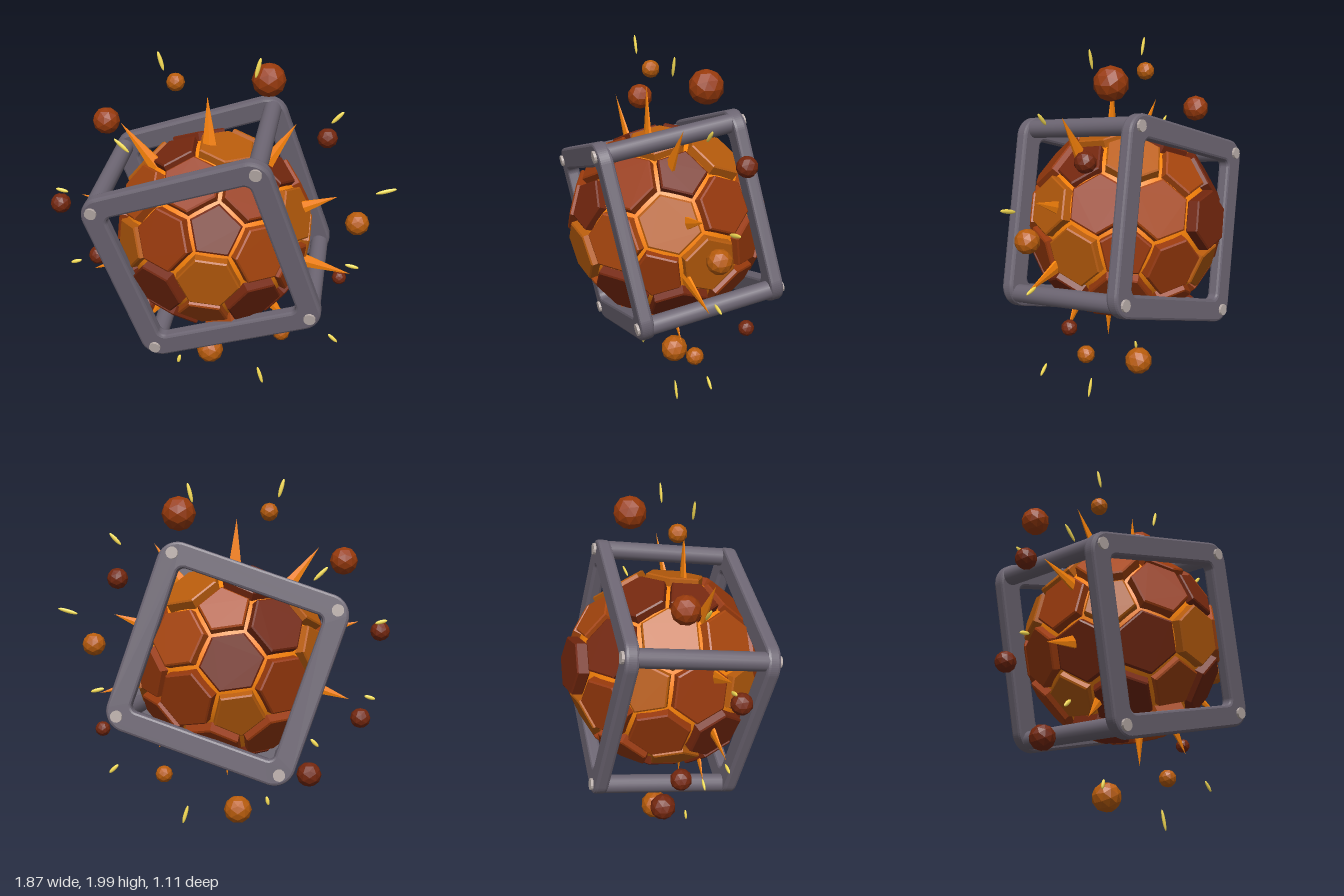
import * as THREE from 'three';

const CENTER = new THREE.Vector3(-0.045, 1, 0);
const mat = (color, flat = true) =>
  new THREE.MeshStandardMaterial({ color, flatShading: flat });

function part(name, geometry, material, parent) {
  const mesh = new THREE.Mesh(geometry, material);
  mesh.name = name;
  parent.add(mesh);
  return mesh;
}

// Turns a group so its local y and z axes follow the given directions
function orient(group, y, z) {
  const Z = new THREE.Vector3(...z).normalize();
  const X = new THREE.Vector3(...y).cross(Z).normalize();
  const Y = Z.clone().cross(X);
  group.quaternion.setFromRotationMatrix(new THREE.Matrix4().makeBasis(X, Y, Z));
}

function roundedSquare(target, half, r) {
  const k = half - r;
  target.absarc(k, k, r, 0, Math.PI / 2);
  target.absarc(-k, k, r, Math.PI / 2, Math.PI);
  target.absarc(-k, -k, r, Math.PI, Math.PI * 1.5);
  target.absarc(k, -k, r, Math.PI * 1.5, Math.PI * 2);
  target.closePath();
  return target;
}

// Cage: two rounded square rings joined by four bars, with corner bolts
function makeCage() {
  const cage = new THREE.Group();
  cage.name = 'cage';
  const steel = mat(0x6c6572, false), boltMat = mat(0xb8aca8);
  const shape = roundedSquare(new THREE.Shape(), 0.508, 0.1);
  shape.holes.push(roundedSquare(new THREE.Path(), 0.412, 0.05));
  const ring = new THREE.ExtrudeGeometry(shape, {
    depth: 0.04, bevelThickness: 0.016, bevelSize: 0.014, bevelSegments: 2, curveSegments: 8,
  }).translate(0, 0, -0.02);
  const bar = new THREE.CylinderGeometry(0.05, 0.05, 0.72, 16).rotateX(Math.PI / 2);
  const bolt = new THREE.CylinderGeometry(0.032, 0.032, 0.03, 12).rotateX(Math.PI / 2);
  for (const s of [-1, 1]) {
    part('cageRing', ring, steel, cage).position.z = s * 0.365;
    for (const x of [-0.452, 0.452]) {
      part('cageBar', bar, steel, cage).position.set(x, s * 0.452, 0);
      for (const y of [-0.452, 0.452])
        part('bolt', bolt, boltMat, cage).position.set(x, y, s * 0.4);
    }
  }
  orient(cage, [-0.325, 0.94, 0.11], [-0.07, -0.14, 0.99]);
  cage.position.set(-0.05, 1, 0);
  return cage;
}

// Cracked ball: glowing core under 12 pentagon and 30 hexagon plates
function makeBall() {
  const ball = new THREE.Group();
  ball.name = 'plateBall';
  part('core', new THREE.SphereGeometry(0.5, 40, 28), mat(0xff860a, false), ball);

  // Each vertex of a subdivided icosahedron owns the centres of its faces
  const pos = new THREE.IcosahedronGeometry(1, 1).attributes.position;
  const cells = new Map();
  for (let i = 0; i < pos.count; i += 3) {
    const tri = [0, 1, 2].map((j) => new THREE.Vector3().fromBufferAttribute(pos, i + j));
    const mid = tri[0].clone().add(tri[1]).add(tri[2]).normalize();
    for (const v of tri) {
      const key = v.toArray().map((c) => Math.round(c * 1000)).join();
      if (!cells.has(key)) cells.set(key, { normal: v, corners: [] });
      cells.get(key).corners.push(mid);
    }
  }

  let seed = 7;
  const random = () => (seed = (seed * 16807) % 2147483647) / 2147483647;
  const mats = [0xa8460e, 0x98390c, 0x74270e, 0xb85c0c].map((c) => mat(c));
  const front = new THREE.Vector3(0, 0, 1);
  for (const { normal, corners } of cells.values()) {
    const q = new THREE.Quaternion().setFromUnitVectors(front, normal);
    const inv = q.clone().invert();
    const outline = corners
      .map((c) => c.clone().applyQuaternion(inv))
      .sort((a, b) => Math.atan2(a.y, a.x) - Math.atan2(b.y, b.x))
      .map((c) => new THREE.Vector2(c.x, c.y).multiplyScalar(0.54 * 0.87));
    const geo = new THREE.ExtrudeGeometry(new THREE.Shape(outline), {
      depth: 0.055, bevelThickness: 0.007, bevelSize: 0.008, bevelOffset: -0.008, bevelSegments: 1,
    });
    const plate = part('plate', geo, mats[Math.floor(random() * 4)], ball);
    plate.quaternion.copy(q);
    const lift = normal.z < -0.99 ? 0.032 : random() * 0.014;
    plate.position.copy(normal).multiplyScalar(0.456 + lift);
  }
  orient(ball, [0.14, 0.98, 0.17], [0.02, -0.17, 0.98]);
  ball.position.copy(CENTER);
  return ball;
}

// Places a mesh whose length runs along y on a ray from the centre
function placeRadial(mesh, degrees, radius, z) {
  const a = THREE.MathUtils.degToRad(degrees);
  mesh.position.set(CENTER.x + Math.cos(a) * radius, CENTER.y + Math.sin(a) * radius, z);
  mesh.rotation.z = a - Math.PI / 2;
}

export function createModel() {
  const model = new THREE.Group();
  model.name = 'cagedBall';
  model.add(makeCage(), makeBall());

  // Flat flame spikes bursting outward, listed by tip distance
  const spikeMat = mat(0xff860a);
  [0.71, 0.78, 0.78, 0.79, 0.75, 0.72, 0.66, 0.71, 0.69, 0.79].forEach((tip, i) => {
    const length = tip - 0.4;
    const geo = new THREE.ConeGeometry(0.06, length, 6).scale(1, 1, 0.35);
    placeRadial(part('spike', geo, spikeMat, model), 20 + i * 36, 0.4 + length / 2, 0.1);
  });

  // Thin sparks: distance, length
  const sparkMat = mat(0xffe458, false);
  [
    [0.985, 0.105], [0.95, 0.11], [0.93, 0.09], [0.96, 0.115], [0.79, 0.08], [0.95, 0.075],
    [0.975, 0.115], [0.875, 0.055], [0.69, 0.065], [0.82, 0.065], [0.865, 0.07], [0.69, 0.11],
  ].forEach(([dist, length], i) => {
    const geo = new THREE.SphereGeometry(0.5, 8, 8).scale(0.023, length, 0.015);
    placeRadial(part('spark', geo, sparkMat, model), 106 - i * 30, dist, 0.06);
  });

  // Loose ember rocks: x, y, z, radius, shade
  const rockMats = [0xb85c0c, 0x983a0c, 0x74270e].map((c) => mat(c));
  [
    [-0.65, 1.565, -0.1, 0.075, 1], [-0.25, 1.82, 0, 0.05, 0], [0.235, 1.815, -0.1, 0.093, 1],
    [0.56, 1.475, -0.17, 0.057, 2], [0.735, 1.075, 0.065, 0.066, 0], [0.665, 0.635, -0.135, 0.042, 2],
    [0.34, 0.33, 0, 0.05, 0], [-0.085, 0.145, -0.07, 0.08, 0], [-0.48, 0.385, -0.155, 0.07, 2],
    [-0.755, 0.71, -0.155, 0.056, 2], [-0.885, 1.15, 0.1, 0.056, 2],
  ].forEach(([x, y, z, r, shade]) => {
    part('emberRock', new THREE.IcosahedronGeometry(r, 1), rockMats[shade], model).position.set(x, y, z);
  });
  return model;
}
